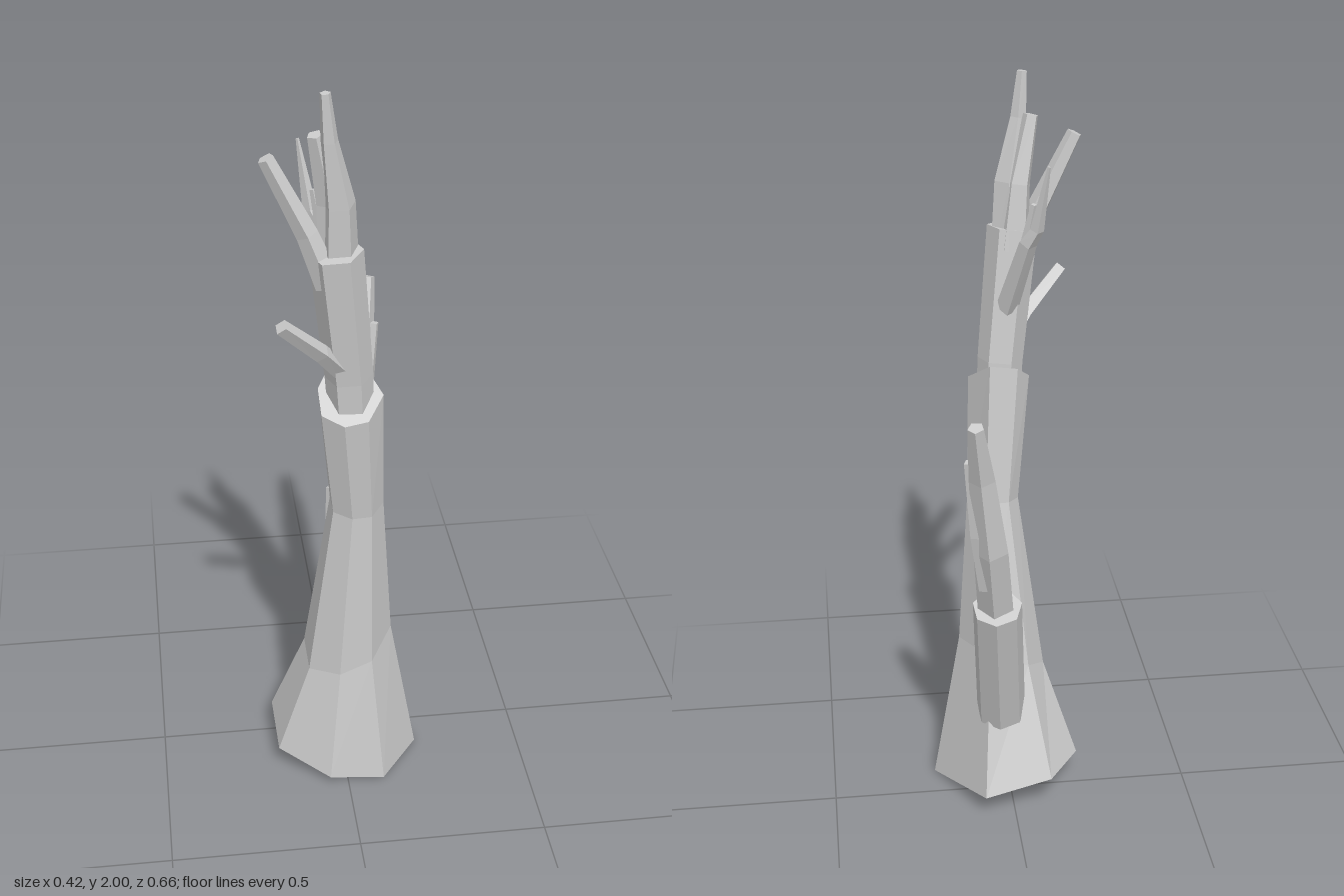
import * as THREE from 'three';

const material = new THREE.MeshStandardMaterial({ color: 0xcccccc, flatShading: true, side: THREE.DoubleSide });

// Skin a list of equal-length rings (counter-clockwise seen from their far end)
function loft(name, rings, capStart, capEnd) {
  const n = rings[0].length;
  const pos = [];
  const tri = (a, b, c) => [a, b, c].forEach((p) => pos.push(p.x, p.y, p.z));
  for (let r = 0; r < rings.length - 1; r++) {
    for (let i = 0; i < n; i++) {
      const j = (i + 1) % n;
      const [a, b, c, d] = [rings[r][i], rings[r][j], rings[r + 1][j], rings[r + 1][i]];
      tri(a, b, c);
      tri(a, c, d);
    }
  }
  const first = rings[0], last = rings[rings.length - 1];
  for (let i = 1; i < n - 1; i++) {
    if (capStart) tri(first[0], first[i + 1], first[i]);
    if (capEnd) tri(last[0], last[i], last[i + 1]);
  }
  const geometry = new THREE.BufferGeometry();
  geometry.setAttribute('position', new THREE.Float32BufferAttribute(pos, 3));
  geometry.computeVertexNormals();
  const mesh = new THREE.Mesh(geometry, material);
  mesh.name = name;
  return mesh;
}

// Faceted limb through [x, y, z, radius] stations
function limb(name, stations, sides = 5, turn = 0) {
  const pts = stations.map((s) => new THREE.Vector3(s[0], s[1], s[2]));
  const rings = pts.map((p, k) => {
    const tangent = pts[Math.min(k + 1, pts.length - 1)].clone().sub(pts[Math.max(k - 1, 0)]).normalize();
    const u = new THREE.Vector3(0, 0, 1).addScaledVector(tangent, -tangent.z).normalize();
    const v = tangent.clone().cross(u);
    return Array.from({ length: sides }, (_, i) => {
      const a = turn + (i / sides) * Math.PI * 2;
      return p.clone()
        .addScaledVector(u, Math.cos(a) * stations[k][3])
        .addScaledVector(v, Math.sin(a) * stations[k][3]);
    });
  });
  return loft(name, rings, true, true);
}

// Flared seven-sided trunk: the foot outline is scaled, shifted and tilted upwards
function trunk() {
  const foot = [[0.21, 0.1], [0.085, -0.15], [-0.1, -0.13], [-0.19, 0.005], [-0.185, 0.17], [-0.05, 0.258], [0.1, 0.247]];
  // centre x, y, z, scale x, scale z, slope along x, slope along z
  const levels = [
    [0.01, 0.05, 0.055, 1, 1, -0.21, -0.19],
    [0.015, 0.4, 0.1, 0.58, 0.6, 0.35, -0.3],
    [0.032, 0.86, 0.148, 0.34, 0.35, 0, -0.2],
    [0.01, 1.2, 0.188, 0.4, 0.36, 0.1, -0.75],
  ];
  const rings = levels.map(([cx, cy, cz, sx, sz, mx, mz]) => foot.map(([x, z]) => {
    const dx = (x - 0.01) * sx, dz = (z - 0.055) * sz;
    return new THREE.Vector3(cx + dx, Math.max(0, cy + dx * mx + dz * mz), cz + dz);
  }));
  return loft('trunk', rings, false, true);
}

export function createModel() {
  const model = new THREE.Group();
  model.name = 'bareTree';
  model.add(
    trunk(),
    // Main stem above the trunk
    limb('upperTrunk', [[0.02, 1.0, 0.175, 0.055], [0.005, 1.25, 0.19, 0.06], [-0.032, 1.6, 0.23, 0.066]], 6, 0.4),
    // Crown
    limb('topBranch', [[-0.02, 1.5, 0.215, 0.05], [-0.025, 1.72, 0.235, 0.04], [-0.05, 1.88, 0.255, 0.021], [-0.06, 1.995, 0.262, 0.013]], 5, 0.5),
    limb('crownBranch', [[-0.03, 1.55, 0.205, 0.045], [-0.045, 1.72, 0.215, 0.034], [-0.08, 1.89, 0.235, 0.02]], 5),
    limb('sideBranch', [[-0.05, 1.52, 0.235, 0.035], [-0.1, 1.65, 0.235, 0.028], [-0.193, 1.84, 0.237, 0.02]], 5),
    limb('lowerSideBranch', [[-0.01, 1.27, 0.215, 0.025], [-0.07, 1.35, 0.262, 0.023], [-0.172, 1.455, 0.318, 0.019]], 4, 0.5),
    limb('rearTwig', [[-0.01, 1.4, 0.165, 0.03], [-0.055, 1.6, 0.085, 0.023], [-0.075, 1.64, 0.068, 0.018], [-0.1, 1.81, 0.037, 0.004]], 4),
    limb('rearTwigSpur', [[-0.04, 1.53, 0.115, 0.018], [-0.07, 1.7, 0.09, 0.008]], 4),
    // Second stem leaning backwards from the trunk
    limb('backLimb', [[0.03, 0.283, -0.03, 0.068], [0.055, 0.7, -0.172, 0.066]], 7, 0.3),
    limb('backBranch', [[0.05, 0.62, -0.14, 0.05], [0.075, 0.9, -0.222, 0.047], [0.1, 1.12, -0.262, 0.035], [0.12, 1.28, -0.31, 0.021]], 5, 0.4),
    limb('backTwig', [[0.085, 0.78, -0.205, 0.024], [0.11, 0.95, -0.236, 0.022], [0.133, 1.165, -0.258, 0.014]], 4, 0.4),
  );
  return model;
}
